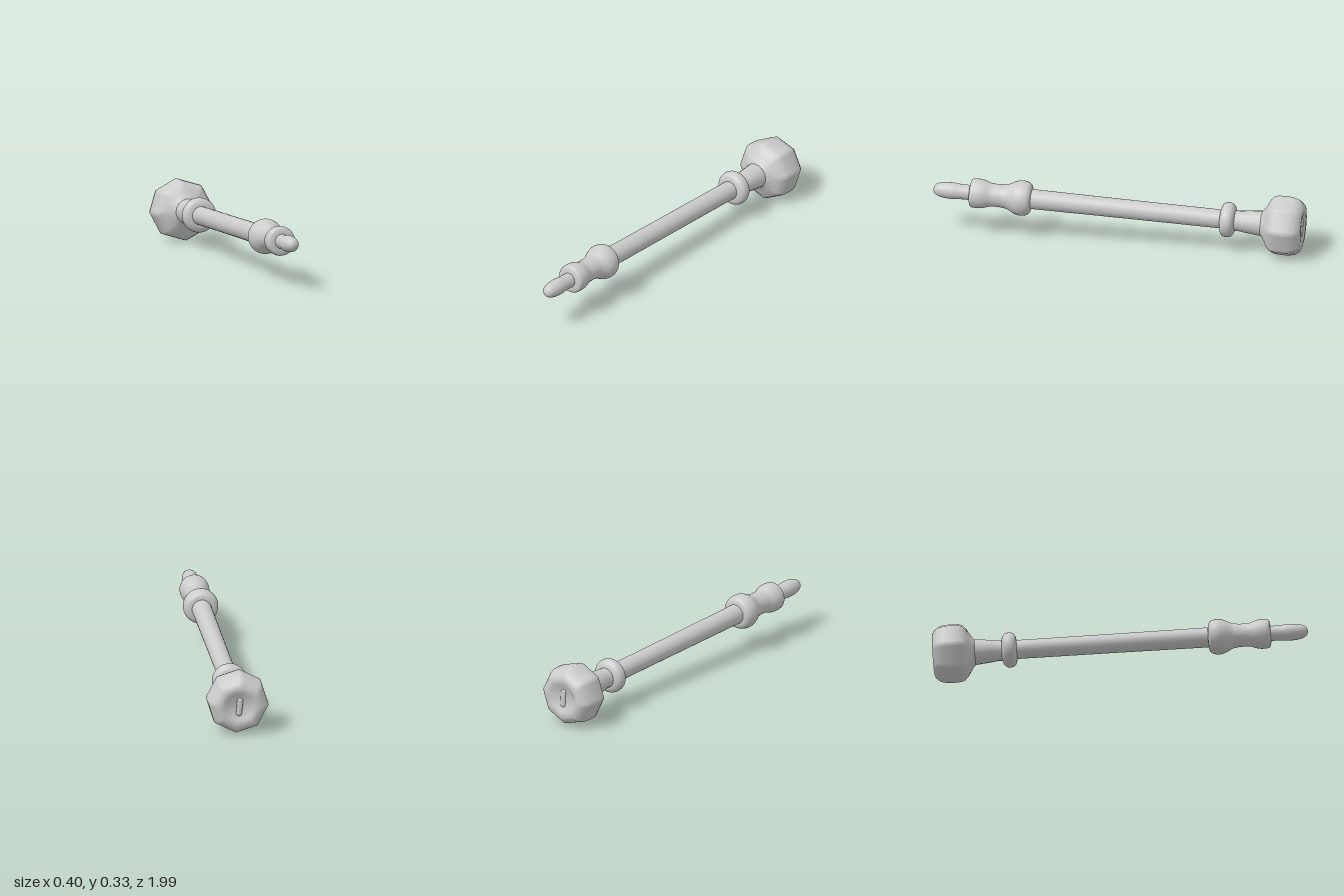
import * as THREE from 'three';
import { toCreasedNormals } from 'three/addons/utils/BufferGeometryUtils.js';

const material = new THREE.MeshStandardMaterial({ color: 0xcccccc });

// Turned part: [radius, position along the axis] from back to front
function turned(name, profile, segments = 32, smooth = true) {
  let points = profile.map(([r, h]) => new THREE.Vector2(r, h));
  if (smooth) points = new THREE.SplineCurve(points).getPoints(profile.length * 4);
  points.forEach((p) => { p.x = Math.max(p.x, 0); });
  const mesh = new THREE.Mesh(new THREE.LatheGeometry(points, segments), material);
  mesh.name = name;
  return mesh;
}

// Pulls a round turning into an octagon, fading out towards the axis
function makeOctagonal(mesh) {
  const p = mesh.geometry.attributes.position;
  const step = Math.PI / 4;
  for (let i = 0; i < p.count; i++) {
    const x = p.getX(i), z = p.getZ(i), r = Math.hypot(x, z);
    const a = Math.atan2(x, z) + Math.PI * 2;
    const side = Math.cos(step / 2) / Math.cos((a % step) - step / 2);
    const k = 1 + (side - 1) * THREE.MathUtils.smoothstep(r, 0.085, 0.14);
    p.setX(i, x * k);
    p.setZ(i, z * k);
  }
  mesh.geometry = toCreasedNormals(mesh.geometry, 0.9);
}

export function createModel() {
  const model = new THREE.Group();
  model.name = 'turnedRod';

  // Everything shares one slightly tilted axis
  const axis = new THREE.Group();
  axis.name = 'rodAxis';
  axis.position.set(-0.052, 0.208, 0);
  axis.quaternion.setFromUnitVectors(
    new THREE.Vector3(0, 1, 0), new THREE.Vector3(-0.0925, 0.04, 1).normalize());
  model.add(axis);

  // Eight-sided knob with a shallow dish in its back
  const knob = turned('knob', [
    [0, -0.984], [0.07, -0.984], [0.082, -0.993], [0.112, -0.992], [0.135, -0.982],
    [0.154, -0.96], [0.163, -0.93], [0.165, -0.89], [0.163, -0.85], [0.155, -0.83],
    [0.135, -0.812], [0.105, -0.797], [0.08, -0.782], [0.062, -0.765],
  ], 64, false);
  makeOctagonal(knob);

  // Raised bar across the dish
  const bar = new THREE.Mesh(new THREE.CapsuleGeometry(0.016, 0.07, 6, 12), material);
  bar.name = 'knobBar';
  bar.scale.z = 0.5;
  bar.rotation.x = Math.PI / 2;
  bar.scale.set(1, 1, 0.5);
  bar.position.y = -0.984;

  axis.add(
    knob,
    bar,
    turned('neck', [[0.07, -0.79], [0.065, -0.74], [0.06, -0.69], [0.055, -0.65], [0.055, -0.6]], 16),
    turned('rearCollar', [
      [0.04, -0.63], [0.07, -0.623], [0.088, -0.608], [0.093, -0.587],
      [0.088, -0.566], [0.07, -0.552], [0.04, -0.547],
    ]),
    turned('shaft', [[0.05, -0.6], [0.051, 0], [0.053, 0.5]], 32, false),
    turned('frontCollar', [
      [0.04, 0.468], [0.072, 0.473], [0.088, 0.49], [0.094, 0.52],
      [0.089, 0.55], [0.076, 0.578], [0.066, 0.6], [0.062, 0.63],
    ]),
    turned('waist', [
      [0.062, 0.625], [0.061, 0.66], [0.063, 0.69], [0.073, 0.72], [0.078, 0.745],
      [0.078, 0.775], [0.072, 0.793], [0.05, 0.8], [0.03, 0.8],
    ]),
    turned('tip', [
      [0.04, 0.78], [0.04, 0.83], [0.041, 0.86], [0.044, 0.89], [0.043, 0.93],
      [0.036, 0.967], [0.022, 0.99], [0, 0.999],
    ]),
  );
  return model;
}
